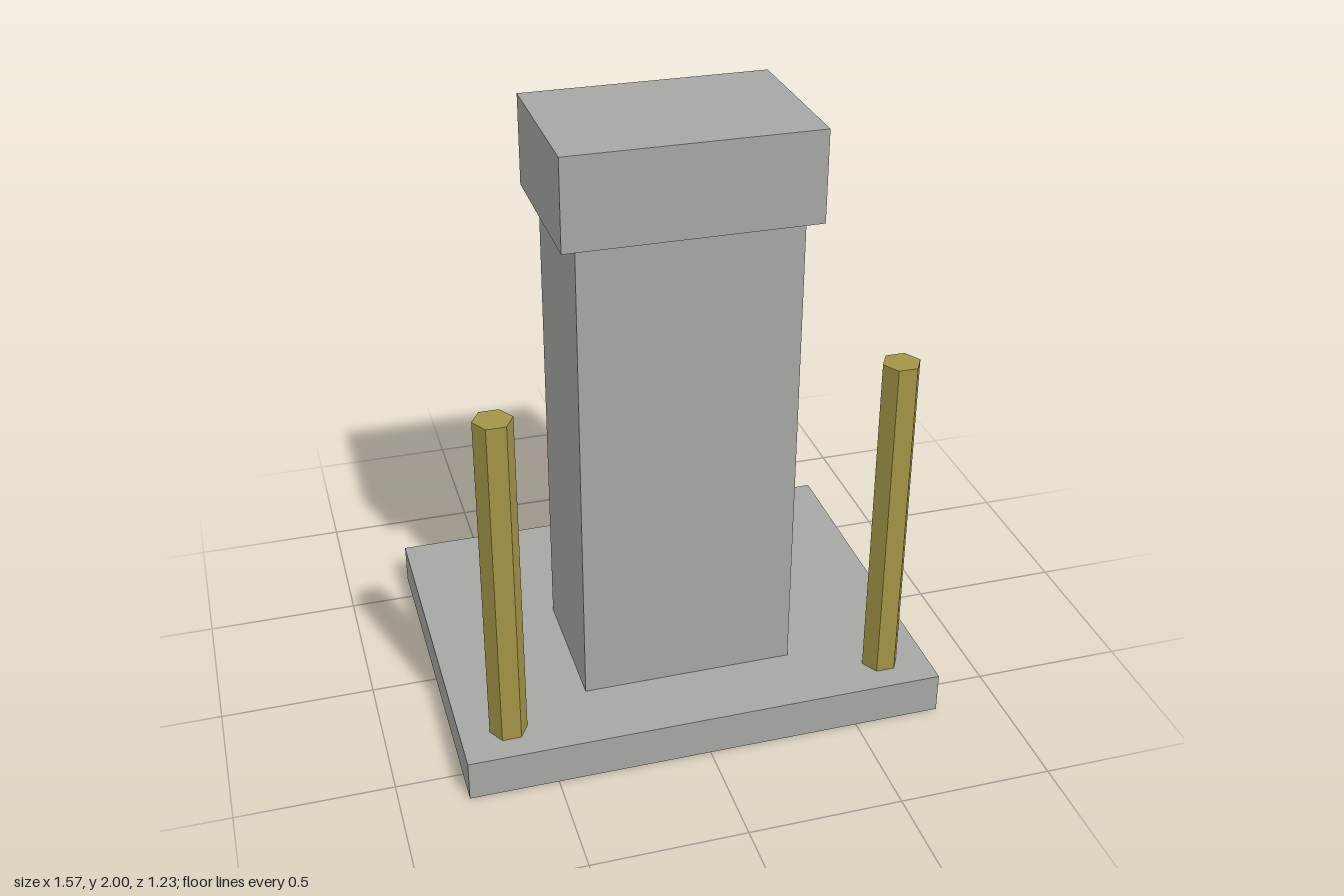
import * as THREE from 'three';

export function createModel() {
  const model = new THREE.Group();
  model.name = 'pedestalWithPosts';

  const stone = new THREE.MeshStandardMaterial({ color: 0xa6a6a4, side: THREE.DoubleSide, flatShading: true });
  stone.name = 'grey stone';
  const brass = new THREE.MeshStandardMaterial({ color: 0xa39446, flatShading: true });
  brass.name = 'dull brass';

  const add = (name, geometry, material, x, y, z) => {
    const mesh = new THREE.Mesh(geometry, material);
    mesh.name = name;
    mesh.position.set(x, y, z);
    model.add(mesh);
    return mesh;
  };

  // Box given by its lower and upper limits
  const block = (name, [x0, y0, z0], [x1, y1, z1]) =>
    add(name, new THREE.BoxGeometry(x1 - x0, y1 - y0, z1 - z0), stone,
      (x0 + x1) / 2, (y0 + y1) / 2, (z0 + z1) / 2);

  // Base slab, a hollow shell open underneath (the -y face is dropped)
  const slabTop = 0.135;
  const base = block('base', [-0.785, 0, -0.617], [0.785, slabTop, 0.617]);
  const faces = Array.from(base.geometry.index.array);
  faces.splice(18, 6);
  base.geometry.setIndex(faces);
  base.geometry.clearGroups();

  // Column and its wider cap
  block('column', [-0.35, slabTop, -0.097], [0.345, 1.71, 0.37]);
  block('cap', [-0.397, 1.71, -0.136], [0.392, 2, 0.403]);

  // Hexagonal posts at the front corners, points turned to the sides
  const postHeight = 1.26 - slabTop;
  const postGeometry = new THREE.CylinderGeometry(0.061, 0.061, postHeight, 6, 1, false, Math.PI / 6);
  for (const [name, side] of [['leftPost', 1], ['rightPost', -1]]) {
    add(name, postGeometry, brass, side * 0.629, slabTop + postHeight / 2, 0.482);
  }

  return model;
}
